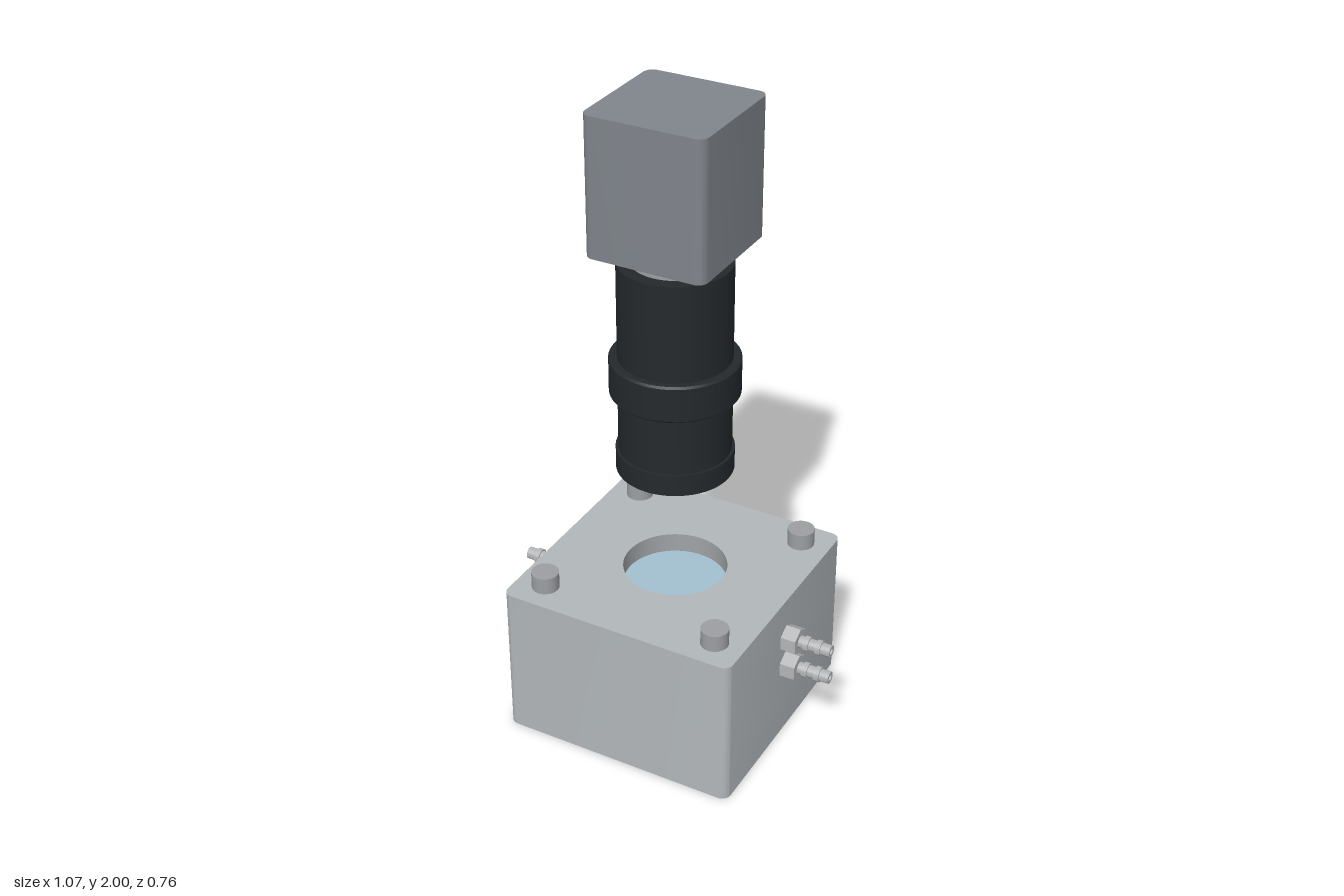
import * as THREE from 'three';
import { toCreasedNormals } from 'three/addons/utils/BufferGeometryUtils.js';

const mat = (color, side = THREE.FrontSide) => new THREE.MeshStandardMaterial({ color, side });
const steel = mat(0xb2b7ba);
const steelInside = mat(0xa0a4a6, THREE.BackSide);
const bolt = mat(0x9c9fa3);
const fittingMetal = mat(0xb4b6b8);
const black = mat(0x25292c);
const housing = mat(0x80858c);
const windowGlass = mat(0xa3c0d0);
const lensGlass = mat(0x71909f);

function add(parent, name, geometry, material, x = 0, y = 0, z = 0) {
  const mesh = new THREE.Mesh(geometry, material);
  mesh.name = name;
  mesh.position.set(x, y, z);
  parent.add(mesh);
  return mesh;
}

// Rounded square running from the back left corner round the front to the back right
function roundedSquare(half, r) {
  const s = new THREE.Shape();
  const c = half - r, q = Math.PI / 2;
  s.absarc(-c, -c, r, -q, -2 * q, true);
  s.absarc(-c, c, r, 2 * q, q, true);
  s.absarc(c, c, r, q, 0, true);
  s.absarc(c, -c, r, 0, -q, true);
  return s;
}

const circlePath = (x, y, r) => new THREE.Path().absarc(x, y, r, 0, Math.PI * 2, false);

function lathe(points, segments = 64) {
  const pts = points.map(([r, y]) => new THREE.Vector2(r, y));
  return toCreasedNormals(new THREE.LatheGeometry(pts, segments), 0.5);
}

// Base block with a window bore on top and a blind port at the back
function createBlock() {
  const block = new THREE.Group();
  block.name = 'baseBlock';
  const H = 0.382, R = 0.03, top = 0.493, bore = 0.16, glassY = 0.43;
  const portR = 0.031, portY = 0.07, portDepth = 0.14;

  // Side, front and corner walls: a strip bent along the outline
  const outline = roundedSquare(H, R).getPoints(8);
  const n = outline.length;
  const wall = new THREE.PlaneGeometry(1, 1, n - 1, 1);
  for (let i = 0; i < n; i++) {
    wall.attributes.position.setXYZ(i, outline[i].x, top, outline[i].y);
    wall.attributes.position.setXYZ(n + i, outline[i].x, 0, outline[i].y);
  }
  add(block, 'blockWalls', toCreasedNormals(wall, 0.5), steel);

  // Back wall with the port opening
  const c = H - R;
  const back = new THREE.Shape([[-c, 0], [c, 0], [c, top], [-c, top]].map(p => new THREE.Vector2(...p)));
  back.holes.push(circlePath(0, portY, portR));
  add(block, 'blockBack', new THREE.ShapeGeometry(back, 24).rotateY(Math.PI), steel, 0, 0, -H);
  const port = new THREE.CylinderGeometry(portR, portR, portDepth, 32, 1, true).rotateX(Math.PI / 2);
  add(block, 'portBore', port, steelInside, 0, portY, -H + portDepth / 2);
  add(block, 'portEnd', new THREE.CircleGeometry(portR, 32).rotateY(Math.PI), steel, 0, portY, -H + portDepth);

  // Top and bottom faces
  const lid = roundedSquare(H, R);
  lid.holes.push(circlePath(0, 0, bore));
  add(block, 'blockTop', new THREE.ShapeGeometry(lid, 24).rotateX(-Math.PI / 2), steel, 0, top, 0);
  add(block, 'blockBottom', new THREE.ShapeGeometry(roundedSquare(H, R), 8).rotateX(Math.PI / 2), steel);

  // Window recessed in its bore
  const boreWall = new THREE.CylinderGeometry(bore, bore, top - glassY, 64, 1, true);
  add(block, 'windowBore', boreWall, steelInside, 0, (top + glassY) / 2, 0);
  add(block, 'windowGlass', new THREE.CircleGeometry(bore, 64).rotateX(-Math.PI / 2), windowGlass, 0, glassY, 0);

  // Corner bolts
  for (const x of [-0.288, 0.288])
    for (const z of [-0.288, 0.288])
      add(block, 'boltHead', new THREE.CylinderGeometry(0.042, 0.042, 0.054, 32), bolt, x, top + 0.027, z);
  return block;
}

// Hose fitting pointing along +x: hex nut and hollow ribbed spout
function createFitting() {
  const fitting = new THREE.Group();
  fitting.name = 'hoseFitting';
  const hex = new THREE.CylinderGeometry(0.0435, 0.0435, 0.049, 6).rotateY(Math.PI / 6);
  add(fitting, 'hexNut', toCreasedNormals(hex, 0.5).rotateZ(-Math.PI / 2), fittingMetal, 0.0245);
  const r = 0.019, rib = 0.024;
  const spout = lathe([
    [r, 0.045], [r, 0.065], [rib, 0.065], [rib, 0.082], [r, 0.082],
    [r, 0.105], [rib, 0.105], [rib, 0.122], [r, 0.122],
    [r, 0.152], [0.01, 0.152], [0.01, 0.06], [0, 0.06],
  ], 32);
  add(fitting, 'ribbedSpout', spout.rotateZ(-Math.PI / 2), fittingMetal);
  return fitting;
}

// Lens barrel with rings, and the box housing above it
function createCamera() {
  const camera = new THREE.Group();
  camera.name = 'camera';
  const barrel = lathe([
    [0.138, 0.885], [0.138, 0.86], [0.176, 0.86], [0.176, 0.928], [0.168, 0.928],
    [0.168, 1.115], [0.187, 1.115], [0.193, 1.121], [0.193, 1.226], [0.187, 1.232],
    [0.168, 1.232], [0.168, 1.535], [0, 1.535],
  ]);
  add(camera, 'lensBarrel', barrel, black);
  add(camera, 'frontLens', new THREE.CircleGeometry(0.138, 64).rotateX(Math.PI / 2), lensGlass, 0, 0.875, 0);
  add(camera, 'lensMount', new THREE.CylinderGeometry(0.13, 0.13, 0.05, 64), bolt, 0, 1.558, 0);
  const box = new THREE.ExtrudeGeometry(roundedSquare(0.187, 0.03), {
    depth: 0.42, bevelEnabled: false, curveSegments: 8,
  }).rotateX(-Math.PI / 2);
  add(camera, 'cameraHousing', toCreasedNormals(box, 0.5), housing, 0, 1.58, 0);
  return camera;
}

export function createModel() {
  const model = new THREE.Group();
  model.name = 'inspectionCameraAndBlock';
  model.add(createBlock(), createCamera());

  // Two fittings on the left side, one on the right
  for (const [side, y] of [[1, 0.355], [1, 0.255], [-1, 0.355]]) {
    const fitting = createFitting();
    fitting.position.set(side * 0.381, y, 0);
    if (side < 0) fitting.rotation.y = Math.PI;
    model.add(fitting);
  }
  return model;
}
